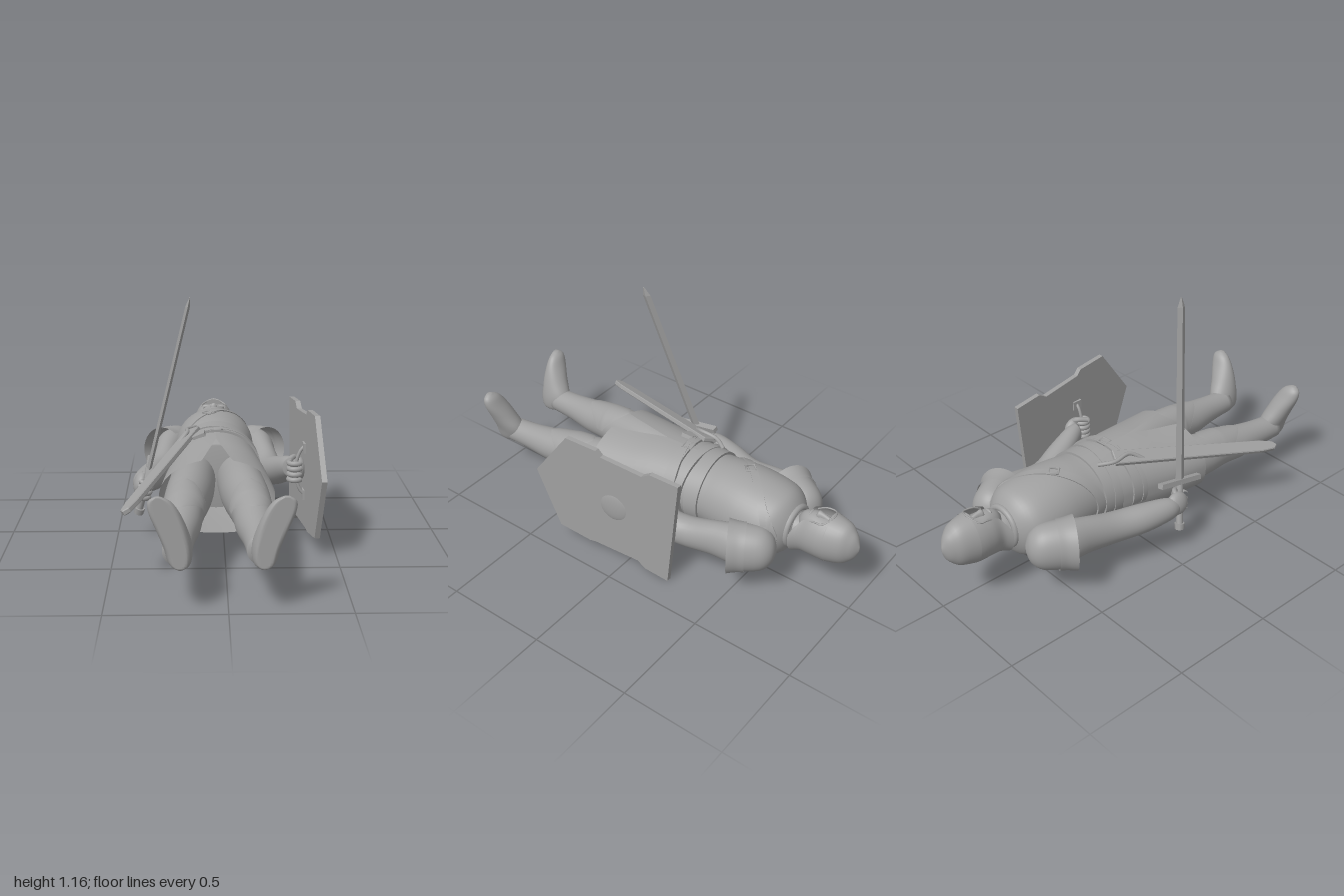
import * as THREE from 'three';
import { toCreasedNormals } from 'three/addons/utils/BufferGeometryUtils.js';

const MID = -0.035; // body's own centre line in x
const mat = new THREE.MeshStandardMaterial({ color: 0xa0a0a0 });
const thin = new THREE.MeshStandardMaterial({ color: 0xa0a0a0, side: THREE.DoubleSide });
const V = (x, y, z) => new THREE.Vector3(x, y, z);
const deg = Math.PI / 180;

function add(parent, name, geo, x = 0, y = 0, z = 0, m = mat) {
  const mesh = new THREE.Mesh(geo, m);
  mesh.name = name;
  mesh.position.set(x, y, z);
  parent.add(mesh);
  return mesh;
}

// Skin through elliptical rings [x, y, z, rx, ry, from, to]; angles make an open shell.
// upright: rings lie flat and stack along y (used for feet), otherwise they stack along z.
// backPower below 1 squares off the lower half of each ring.
function loft(keys, { sides = 32, upright = false, maxZ = 9, backPower = 1 } = {}) {
  const open = keys[0].length > 5, pos = [], idx = [], steps = 4;
  const cat = (a, b, c, d, t) => b + 0.5 * t * (c - a + t * (2 * a - 5 * b + 4 * c - d + t * (3 * (b - c) + d - a)));
  const rings = [];
  for (let i = 0; i < keys.length - 1; i++)
    for (let k = 0; k < steps + (i === keys.length - 2 ? 1 : 0); k++)
      rings.push(keys[i].map((b, n) => n > 4
        ? b + (keys[i + 1][n] - b) * k / steps
        : cat((keys[i - 1] ?? keys[i])[n], b, keys[i + 1][n], (keys[i + 2] ?? keys[i + 1])[n], k / steps)));
  const w = open ? sides + 1 : sides;
  const bend = (v, p) => Math.sign(v) * Math.abs(v) ** p;
  for (const [x, y, z, rx, ry, a0 = 0, a1 = 360] of rings)
    for (let j = 0; j < w; j++) {
      const t = (a0 + (a1 - a0) * j / sides) * deg, p = Math.sin(t) < 0 ? backPower : 1;
      const c = rx * bend(Math.cos(t), p), s = ry * bend(Math.sin(t), p);
      if (upright) pos.push(x + c, y, Math.min(maxZ, z - s));
      else pos.push(x + c, y + s, z);
    }
  for (let i = 0; i < rings.length - 1; i++)
    for (let j = 0; j < sides; j++) {
      const a = i * w + j, b = i * w + (j + 1) % w;
      idx.push(a, b, a + w, b, b + w, a + w);
    }
  if (!open) {
    const n = rings.length, first = n * w;
    for (const r of [rings[0], rings[n - 1]]) pos.push(r[0], r[1], Math.min(maxZ, r[2]));
    for (let j = 0; j < w; j++) {
      const k = (j + 1) % w, e = (n - 1) * w;
      idx.push(first, k, j, first + 1, e + j, e + k);
    }
  }
  const g = new THREE.BufferGeometry();
  g.setAttribute('position', new THREE.Float32BufferAttribute(pos, 3));
  g.setIndex(idx);
  g.computeVertexNormals();
  return g;
}

const TORSO = [
  [MID, 0.31, -0.69, 0.07, 0.06], [MID, 0.30, -0.645, 0.14, 0.14], [MID, 0.30, -0.58, 0.185, 0.17],
  [MID, 0.305, -0.45, 0.195, 0.182], [MID, 0.308, -0.33, 0.185, 0.177], [MID, 0.307, -0.23, 0.177, 0.167],
  [MID, 0.305, -0.12, 0.188, 0.168], [MID, 0.3, 0, 0.2, 0.168], [MID, 0.295, 0.08, 0.19, 0.15]];

// Point on the torso at height z and angle t, pushed out by off
function onTorso(z, t, off) {
  let i = 0;
  while (i < TORSO.length - 2 && TORSO[i + 1][2] < z) i++;
  const f = (z - TORSO[i][2]) / (TORSO[i + 1][2] - TORSO[i][2]);
  const r = TORSO[i].map((v, n) => v + (TORSO[i + 1][n] - v) * f);
  return V(r[0] + (r[3] + off) * Math.cos(t), r[1] + (r[4] + off) * Math.sin(t), z);
}

// Closed strap round the torso, tilted by an amount in z
function band(z0, tilt, width, off) {
  const pos = [], idx = [], n = 72;
  for (let i = 0; i < n; i++) {
    const t = i / n * 2 * Math.PI, z = z0 - tilt * Math.cos(t);
    for (const [dz, o] of [[-1, -0.03], [-1, off], [1, off], [1, -0.03]])
      pos.push(...onTorso(z + dz * width / 2, t, o).toArray());
    for (let k = 0; k < 4; k++) {
      const a = i * 4 + k, b = i * 4 + (k + 1) % 4, c = (i + 1) % n * 4;
      idx.push(a, c + k, b, b, c + k, c + (k + 1) % 4);
    }
  }
  const g = new THREE.BufferGeometry();
  g.setAttribute('position', new THREE.Float32BufferAttribute(pos, 3));
  g.setIndex(idx);
  return toCreasedNormals(g, 0.7);
}

const rod = (pts, r) => new THREE.TubeGeometry(new THREE.CatmullRomCurve3(pts), 16, r, 8);

// Four curled fingers and a thumb round a local y axis; s points to the outer side
function grip(parent, s) {
  for (let i = 0; i < 4; i++) {
    const f = add(parent, 'finger', new THREE.TorusGeometry(0.028, 0.0125, 8, 16, 4.6), 0, -0.042 + i * 0.026, 0);
    f.rotation.set(Math.PI / 2, 0, s > 0 ? 0.6 : -2);
  }
  add(parent, 'thumb', rod([V(s * 0.035, 0.03, -0.05), V(0, 0.055, -0.035), V(-s * 0.028, 0.05, 0.01)], 0.013));
  add(parent, 'palm', new THREE.SphereGeometry(1, 20, 14), s * 0.02, 0, -0.035).scale.set(0.034, 0.056, 0.06);
}

function buildHead(root) {
  const head = new THREE.Group();
  head.name = 'head';
  root.add(head);
  add(head, 'neck', loft([[MID, 0.32, -0.8, 0.065, 0.065], [MID, 0.31, -0.72, 0.065, 0.065], [MID, 0.3, -0.62, 0.09, 0.09]]));
  add(head, 'face', loft([[MID, 0.33, -0.95, 0.03, 0.04], [MID, 0.33, -0.89, 0.075, 0.1], [MID, 0.33, -0.82, 0.08, 0.098],
    [MID, 0.34, -0.76, 0.066, 0.09], [MID, 0.35, -0.715, 0.045, 0.065], [MID, 0.35, -0.69, 0.015, 0.03]]));
  add(head, 'nose', loft([[MID, 0.418, -0.855, 0.01, 0.012], [MID, 0.424, -0.81, 0.013, 0.02], [MID, 0.423, -0.785, 0.019, 0.026], [MID, 0.415, -0.775, 0.006, 0.01]]));
  add(head, 'mouth', new THREE.SphereGeometry(1, 16, 10), MID, 0.422, -0.748).scale.set(0.022, 0.01, 0.009);
  for (const s of [-1, 1]) {
    add(head, 'brow', new THREE.SphereGeometry(1, 16, 10), MID + s * 0.033, 0.415, -0.85).scale.set(0.032, 0.013, 0.011);
    add(head, 'eye', new THREE.SphereGeometry(0.011, 12, 8), MID + s * 0.03, 0.41, -0.83);
  }
  // Ridged skull of the helmet, then cheek and neck guard open at the face
  add(head, 'helmetSkull', loft([[MID, 0.335, -1, 0.004, 0.012], [MID, 0.335, -0.985, 0.03, 0.052], [MID, 0.335, -0.965, 0.052, 0.078],
    [MID, 0.335, -0.93, 0.078, 0.106], [MID, 0.333, -0.865, 0.098, 0.121], [MID, 0.333, -0.85, 0.1, 0.122]]));
  add(head, 'helmetGuard', loft([[MID, 0.333, -0.862, 0.1, 0.122, 105, 435], [MID, 0.333, -0.83, 0.102, 0.122, 126, 414],
    [MID, 0.33, -0.78, 0.1, 0.12, 122, 418], [MID, 0.32, -0.735, 0.094, 0.114, 130, 410], [MID, 0.305, -0.695, 0.11, 0.112, 165, 375]]), 0, 0, 0, thin);
  const rim = [V(-0.056, 0.405, -0.75), V(-0.06, 0.428, -0.79), V(-0.06, 0.433, -0.835), V(0, 0.455, -0.866),
    V(0.06, 0.433, -0.835), V(0.06, 0.428, -0.79), V(0.056, 0.405, -0.75)];
  add(head, 'helmetRim', rod(rim, 0.004), MID);
}

function buildBody(root) {
  add(root, 'torso', loft(TORSO, { sides: 48 }));
  add(root, 'collar', new THREE.TorusGeometry(0.09, 0.016, 10, 32), MID, 0.305, -0.672);
  // Flared skirt, slit at the front and flat at the back
  add(root, 'skirt', loft([[MID, 0.303, -0.13, 0.195, 0.178, 90, 450], [MID, 0.295, 0.06, 0.222, 0.18, 90, 450],
    [MID, 0.288, 0.2, 0.243, 0.175, 98, 442], [MID, 0.285, 0.35, 0.258, 0.17, 106, 434]], { sides: 48, backPower: 0.75 }), 0, 0, 0, thin);
  add(root, 'baldric', band(-0.44, 0.19, 0.05, 0.006));
  add(root, 'waistSash', band(-0.2, 0.01, 0.07, 0.011));
  add(root, 'waistFold', band(-0.145, -0.012, 0.04, 0.015));
  add(root, 'belt', band(-0.065, 0.015, 0.05, 0.02));
  add(root, 'hipStrap', band(-0.06, 0.05, 0.025, 0.022));
  for (const [z, t, turn, off, name] of [[-0.07, 88, 0.1, 0.018, 'beltBuckle'], [-0.4, 98, 0.75, 0.004, 'baldricBuckle']]) {
    const p = onTorso(z, t * deg, off);
    const b = add(root, name, new THREE.TorusGeometry(0.03, 0.006, 6, 4), p.x, p.y, p.z);
    b.rotation.set(-Math.PI / 2, 0, Math.PI / 4 + turn);
  }
  const pouch = onTorso(-0.015, 112 * deg, 0.014);
  add(root, 'pouch', new THREE.BoxGeometry(0.06, 0.02, 0.06), pouch.x, pouch.y, pouch.z).rotation.z = 22 * deg;
  // Scabbard hanging from the right hip
  const top = V(-0.145, 0.47, -0.11), end = V(-0.425, 0.325, 0.7), yAxis = end.clone().sub(top).normalize();
  const outline = [[-0.034, 0], [0.034, 0], [0.028, 0.78], [0.018, 0.85], [0, 0.868], [-0.018, 0.85], [-0.028, 0.78]];
  const g = new THREE.ExtrudeGeometry(new THREE.Shape(outline.map(p => new THREE.Vector2(...p))),
    { depth: 0.016, bevelSize: 0.004, bevelThickness: 0.004, bevelSegments: 1 }).translate(0, 0, -0.008);
  const zAxis = V(-0.45, 1, 0).projectOnPlane(yAxis).normalize();
  const m = new THREE.Matrix4().makeBasis(V(0, 0, 0).crossVectors(yAxis, zAxis), yAxis, zAxis).setPosition(top);
  add(root, 'scabbard', g.applyMatrix4(m));
  add(root, 'scabbardHanger', rod([V(-0.13, 0.465, -0.2), V(-0.17, 0.472, -0.13), V(-0.17, 0.478, -0.04), V(-0.21, 0.44, 0.02)], 0.01));
}

function buildLimbs(root) {
  for (const s of [-1, 1]) {
    const side = s > 0 ? 'left' : 'right', X = d => MID + s * d, lift = s > 0 ? 0.08 : 0;
    add(root, side + 'Arm', loft([[X(0.17), 0.27, -0.64, 0.05, 0.07], [X(0.215), 0.265, -0.54, 0.085, 0.105], [X(0.242), 0.255, -0.4, 0.07, 0.09],
      [X(0.265), 0.235, -0.25, 0.07, 0.075], [X(0.305), 0.24 + lift * 0.35, -0.12, 0.068, 0.07],
      [X(0.34), 0.25 + lift * 0.8, 0, 0.052, 0.058], [X(0.35), 0.25 + lift, 0.05, 0.036, 0.045]]));
    // Shoulder armour: dome and flared rim
    const p = new THREE.Group();
    p.name = side + 'Pauldron';
    p.position.set(X(0.21), 0.262, -0.565);
    p.rotation.y = s * 0.52;
    root.add(p);
    const [a, b] = s > 0 ? [-125, 125] : [55, 305];
    add(p, 'dome', loft([[0, 0, -0.12, 0.01, 0.015, a, b], [0, 0, -0.1, 0.06, 0.07, a, b], [0, 0, -0.05, 0.092, 0.108, a, b], [0, 0, 0.05, 0.1, 0.12, a, b]]), 0, 0, 0, thin);
    add(p, 'rim', loft([[0, 0, 0.02, 0.105, 0.122, a, b], [0, 0, 0.055, 0.107, 0.124, a, b], [0, 0, 0.1, 0.12, 0.13, a, b]]), 0, 0, 0, thin);
    // Legs, pointed knee plates and boots with flat soles
    add(root, side + 'Leg', loft([[X(0.1), 0.28, 0, 0.1, 0.12], [X(0.12), 0.275, 0.25, 0.106, 0.124], [X(0.14), 0.27, 0.43, 0.098, 0.11],
      [X(0.147), 0.265, 0.55, 0.086, 0.096], [X(0.155), 0.252, 0.66, 0.082, 0.085], [X(0.163), 0.246, 0.8, 0.066, 0.068], [X(0.168), 0.242, 0.93, 0.06, 0.06]]));
    add(root, side + 'KneePlate', loft([[X(0.14), 0.27, 0.41, 0.104, 0.116, 86, 94], [X(0.144), 0.268, 0.52, 0.096, 0.106, 5, 175],
      [X(0.148), 0.263, 0.56, 0.093, 0.103, 5, 175], [X(0.155), 0.252, 0.67, 0.086, 0.09, 86, 94]]), 0, 0, 0, thin);
    add(root, side + 'Boot', loft([[X(0.165), 0.183, 0.965, 0.015, 0.025], [X(0.167), 0.205, 0.95, 0.045, 0.065], [X(0.175), 0.27, 0.94, 0.058, 0.085],
      [X(0.2), 0.35, 0.96, 0.062, 0.065], [X(0.228), 0.42, 0.975, 0.06, 0.043], [X(0.245), 0.465, 0.983, 0.044, 0.028], [X(0.25), 0.485, 0.99, 0.012, 0.012]],
      { upright: true, maxZ: 1 }), 0.01);
  }
}

function buildSword(root) {
  const sword = new THREE.Group();
  sword.name = 'sword';
  sword.position.set(-0.368, 0.25, 0.1);
  sword.quaternion.setFromUnitVectors(V(0, 1, 0), V(0.218, 0.915, 0.185).normalize());
  root.add(sword);
  // Diamond-section blade, wide along z
  const blade = new THREE.CylinderGeometry(0.024, 0.027, 0.805, 4).translate(0, 0.5075, 0).toNonIndexed();
  const tip = new THREE.CylinderGeometry(0.004, 0.024, 0.045, 4).translate(0, 0.9325, 0).toNonIndexed();
  for (const g of [blade, tip]) { g.scale(0.42, 1, 1); g.computeVertexNormals(); add(sword, 'blade', g); }
  add(sword, 'guard', new THREE.BoxGeometry(0.03, 0.024, 0.25), 0, 0.095, 0);
  add(sword, 'handle', new THREE.CylinderGeometry(0.016, 0.016, 0.22, 12), 0, -0.015, 0);
  add(sword, 'pommel', new THREE.CylinderGeometry(0.025, 0.022, 0.03, 8), 0, -0.125, 0);
  const hand = new THREE.Group();
  hand.name = 'rightHand';
  sword.add(hand);
  grip(hand, -1);
}

function buildShield(root) {
  // Outline as [z, y]; the board leans outward towards its point
  const outline = [[0.477, 0.383], [0.295, 0.635], [0.134, 0.625], [0.11, 0.598], [-0.107, 0.576], [-0.15, 0.603], [-0.295, 0.592],
    [-0.236, 0.003], [-0.113, 0.024], [-0.075, 0.056], [0.16, 0.067], [0.195, 0.062], [0.36, 0.088]];
  const faceX = (z, y) => 0.44 + 0.11 * (z - 0.477) + 0.01 * (y - 0.383);
  const g = new THREE.ExtrudeGeometry(new THREE.Shape(outline.map(([z, y]) => new THREE.Vector2(-z, y))), { depth: 0.024, bevelEnabled: false });
  g.rotateY(Math.PI / 2);
  const p = g.attributes.position;
  for (let i = 0; i < p.count; i++) p.setX(i, p.getX(i) - 0.024 + faceX(p.getZ(i), p.getY(i)));
  g.computeVertexNormals();
  const shield = new THREE.Group();
  shield.name = 'shield';
  root.add(shield);
  add(shield, 'board', g);
  const boss = add(shield, 'boss', new THREE.SphereGeometry(1, 32, 20), faceX(0.05, 0.33) - 0.008, 0.33, 0.05);
  boss.scale.set(0.016, 0.08, 0.08);
  boss.rotation.y = 0.11;
  const ix = faceX(0.1, 0.33) - 0.02;
  add(shield, 'handle', rod([V(ix, 0.21, 0.1), V(ix - 0.025, 0.24, 0.1), V(ix - 0.045, 0.33, 0.1), V(ix - 0.025, 0.42, 0.1), V(ix, 0.45, 0.1)], 0.008));
  for (const y of [0.215, 0.44])
    add(shield, 'handleMount', new THREE.BoxGeometry(0.012, 0.045, 0.05), ix - 0.006, y, 0.1);
  const hand = new THREE.Group();
  hand.name = 'leftHand';
  hand.position.set(ix - 0.048, 0.33, 0.1);
  root.add(hand);
  grip(hand, 1);
}

export function createModel() {
  const root = new THREE.Group();
  root.name = 'armouredFighter';
  for (const build of [buildHead, buildBody, buildLimbs, buildSword, buildShield]) build(root);
  return root;
}
